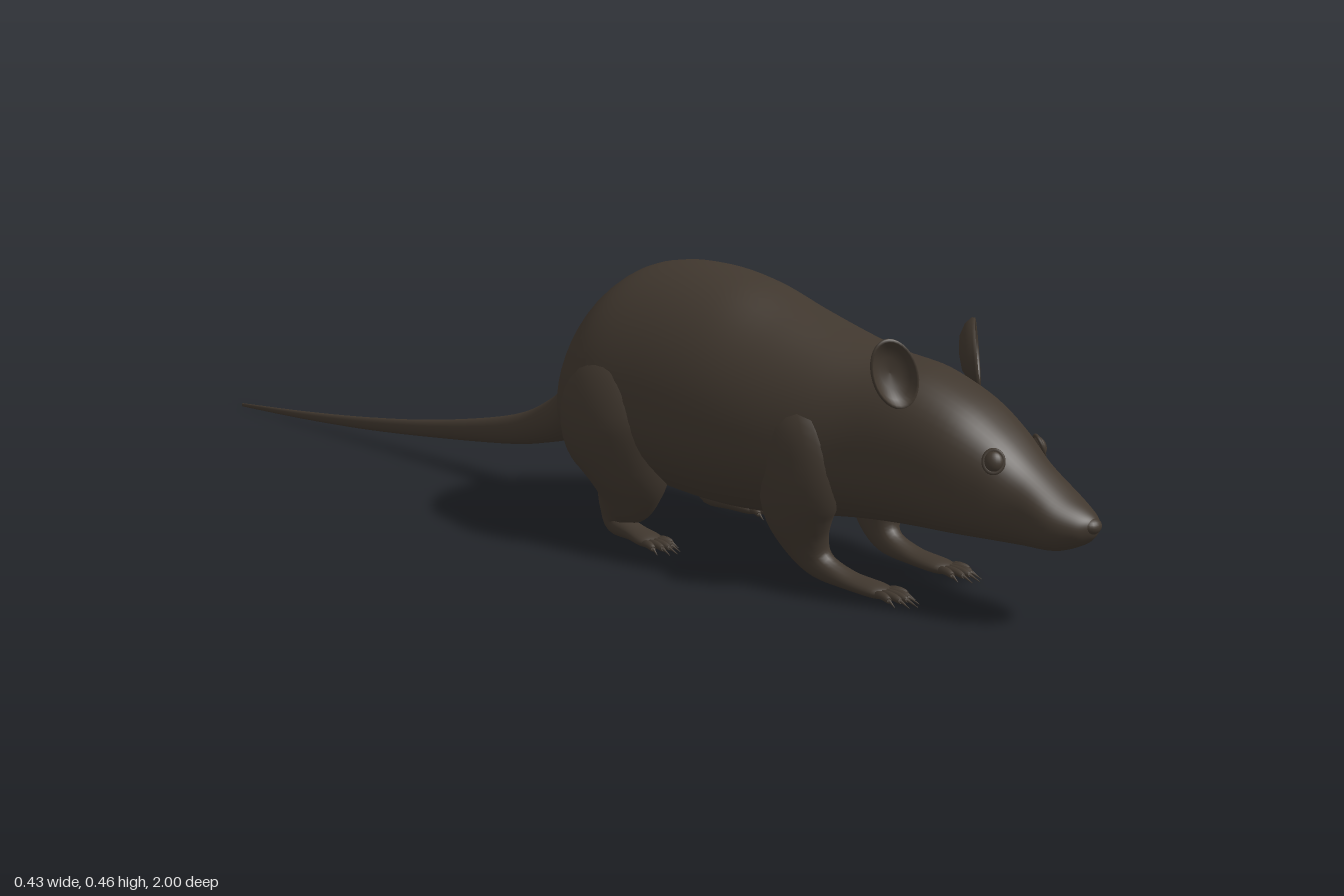
import * as THREE from 'three';

const fur = new THREE.MeshStandardMaterial({ color: 0x40372e });
fur.name = 'dark brown fur';

// Smoothly resample rows of numbers (Catmull-Rom on every column)
function smoothRows(rows, steps) {
  const out = [];
  const last = rows.length - 1;
  for (let i = 0; i < last; i++) {
    const a = rows[Math.max(i - 1, 0)], b = rows[i], c = rows[i + 1], d = rows[Math.min(i + 2, last)];
    for (let s = 0; s < steps; s++) {
      const t = s / steps;
      out.push(b.map((v, k) => 0.5 * (2 * v + (c[k] - a[k]) * t
        + (2 * a[k] - 5 * v + 4 * c[k] - d[k]) * t * t
        + (3 * v - a[k] - 3 * c[k] + d[k]) * t * t * t)));
    }
  }
  out.push(rows[last]);
  return out;
}

// Skin a list of closed rings, with a point cap at each end
function skin(rings) {
  const n = rings[0].length, pos = [], index = [];
  rings.forEach((ring) => ring.forEach((p) => pos.push(p.x, p.y, p.z)));
  for (let i = 0; i < rings.length - 1; i++) {
    for (let j = 0; j < n; j++) {
      const a = i * n + j, b = i * n + (j + 1) % n;
      index.push(a, b, a + n, b, b + n, a + n);
    }
  }
  [0, rings.length - 1].forEach((r, end) => {
    const c = rings[r].reduce((s, p) => s.add(p), new THREE.Vector3()).divideScalar(n);
    const k = pos.length / 3;
    pos.push(c.x, c.y, c.z);
    for (let j = 0; j < n; j++) {
      const a = r * n + j, b = r * n + (j + 1) % n;
      if (end) index.push(a, b, k); else index.push(b, a, k);
    }
  });
  const g = new THREE.BufferGeometry();
  g.setAttribute('position', new THREE.Float32BufferAttribute(pos, 3));
  g.setIndex(index);
  g.computeVertexNormals();
  return g;
}

// Tapered limb through rows of x, y, z, side radius, depth radius
function limb(rows, sides = 20, steps = 5) {
  const pts = smoothRows(rows, steps);
  const at = (i) => new THREE.Vector3(...pts[Math.min(Math.max(i, 0), pts.length - 1)].slice(0, 3));
  return skin(pts.map((p, i) => {
    const T = at(i + 1).sub(at(i - 1)).normalize();
    const N = new THREE.Vector3(1, 0, 0).addScaledVector(T, -T.x).normalize();
    const B = T.clone().cross(N);
    return Array.from({ length: sides }, (_, j) => {
      const a = j / sides * Math.PI * 2;
      return at(i).addScaledVector(N, Math.cos(a) * p[3]).addScaledVector(B, Math.sin(a) * p[4]);
    });
  }));
}

function add(parent, name, geometry) {
  const m = new THREE.Mesh(geometry, fur);
  m.name = name;
  parent.add(m);
  return m;
}

// Body rows from tail tip to nose: z, half width, top, widest height, bottom, squareness
const BODY = [
  [-1, 0.002, 0.011, 0.008, 0.004, 2],
  [-0.8, 0.006, 0.028, 0.02, 0.012, 2],
  [-0.6, 0.009, 0.05, 0.038, 0.025, 2],
  [-0.4, 0.013, 0.08, 0.063, 0.045, 2],
  [-0.2, 0.022, 0.125, 0.098, 0.07, 2],
  [-0.1, 0.036, 0.173, 0.13, 0.092, 2],
  [-0.05, 0.052, 0.217, 0.155, 0.106, 2],
  [0, 0.088, 0.285, 0.185, 0.117, 2],
  [0.05, 0.145, 0.365, 0.21, 0.122, 2],
  [0.1, 0.182, 0.418, 0.22, 0.115, 2],
  [0.16, 0.194, 0.449, 0.225, 0.1, 2],
  [0.25, 0.19, 0.459, 0.225, 0.082, 2],
  [0.35, 0.182, 0.447, 0.22, 0.073, 2],
  [0.45, 0.17, 0.414, 0.215, 0.078, 2],
  [0.54, 0.152, 0.386, 0.21, 0.093, 2.1],
  [0.62, 0.13, 0.367, 0.21, 0.104, 2.2],
  [0.7, 0.115, 0.355, 0.215, 0.11, 2.3],
  [0.78, 0.101, 0.323, 0.205, 0.113, 2.4],
  [0.84, 0.082, 0.284, 0.192, 0.115, 2.4],
  [0.89, 0.064, 0.242, 0.175, 0.116, 2.3],
  [0.94, 0.055, 0.206, 0.162, 0.118, 2.2],
  [0.975, 0.036, 0.186, 0.158, 0.132, 2],
  [0.99, 0.018, 0.175, 0.16, 0.145, 2],
  [0.995, 0.004, 0.165, 0.161, 0.157, 2],
];

function bodyGeometry() {
  const sides = 48;
  return skin(smoothRows(BODY, 5).map(([z, w, top, mid, low, e]) =>
    Array.from({ length: sides }, (_, j) => {
      const a = j / sides * Math.PI * 2, c = Math.cos(a), s = Math.sin(a);
      const x = Math.sign(c) * Math.abs(c) ** (2 / e) * w;
      const y = mid + Math.sign(s) * Math.abs(s) ** (2 / e) * (s > 0 ? top - mid : mid - low);
      return new THREE.Vector3(x, y, z);
    })));
}

const FRONT_LEG = [
  [0.095, 0.3, 0.5, 0.012, 0.02], [0.108, 0.25, 0.525, 0.044, 0.07],
  [0.113, 0.18, 0.54, 0.047, 0.076], [0.106, 0.115, 0.535, 0.041, 0.063],
  [0.095, 0.065, 0.545, 0.029, 0.041], [0.088, 0.033, 0.57, 0.022, 0.024],
  [0.085, 0.019, 0.62, 0.022, 0.014], [0.083, 0.014, 0.675, 0.024, 0.011],
  [0.083, 0.012, 0.695, 0.012, 0.006],
];
const HIND_LEG = [
  [0.1, 0.34, 0.17, 0.015, 0.025], [0.128, 0.28, 0.175, 0.062, 0.085],
  [0.139, 0.205, 0.18, 0.075, 0.105], [0.134, 0.135, 0.195, 0.062, 0.088],
  [0.125, 0.085, 0.188, 0.043, 0.065], [0.12, 0.048, 0.17, 0.028, 0.04],
  [0.12, 0.025, 0.17, 0.022, 0.022], [0.125, 0.018, 0.21, 0.021, 0.014],
  [0.132, 0.014, 0.25, 0.024, 0.011], [0.134, 0.012, 0.268, 0.012, 0.006],
];

// Five splayed toes, each ending in a pointed claw
function addToes(parent, s, x, z, reach) {
  for (let i = -2; i <= 2; i++) {
    const l = reach * (1 - 0.09 * i * i);
    const row = (t, y, r) => [s * x + i * (0.008 + 0.005 * t), y, z + l * t, r, r];
    add(parent, 'toe', limb([
      row(-0.15, 0.012, 0.004), row(0.2, 0.015, 0.0065), row(0.5, 0.014, 0.006),
      row(0.68, 0.011, 0.0045), row(0.72, 0.011, 0.0025), row(1, 0.004, 0.0004),
    ], 8, 3));
  }
}

// Cupped ear: closed lathe shell opening forward
function earGeometry() {
  const profile = [[0, -0.016], [0.5, -0.013], [0.85, -0.003], [1, 0.008], [0.98, 0.013],
    [0.9, 0.011], [0.75, 0], [0.45, -0.007], [0, -0.009]]
    .map(([r, y]) => new THREE.Vector2(r * 0.036, y));
  const g = new THREE.LatheGeometry(profile, 32);
  g.rotateX(Math.PI / 2);
  g.scale(1, 1.5, 1);
  return g;
}

export function createModel() {
  const model = new THREE.Group();
  model.name = 'rodent';
  add(model, 'bodyHeadAndTail', bodyGeometry());

  // Nose pad
  const nose = add(model, 'nose', new THREE.SphereGeometry(1, 20, 14));
  nose.scale.set(0.019, 0.013, 0.016);
  nose.position.set(0, 0.163, 0.984);

  for (const s of [1, -1]) {
    const side = new THREE.Group();
    side.name = s > 0 ? 'leftSide' : 'rightSide';
    model.add(side);
    const mirror = (rows) => rows.map(([x, ...rest]) => [s * x, ...rest]);
    add(side, 'frontLeg', limb(mirror(FRONT_LEG)));
    addToes(side, s, 0.083, 0.683, 0.065);
    add(side, 'hindLeg', limb(mirror(HIND_LEG), 28));
    addToes(side, s, 0.135, 0.255, 0.058);

    // Ear, turned outward and leaning away from the head
    const ear = add(side, 'ear', earGeometry());
    ear.position.set(s * 0.1, 0.36, 0.7);
    ear.rotation.set(-0.15, s * 0.55, -s * 0.22);

    // Eye with its lid rim
    const eye = new THREE.Group();
    eye.name = 'eye';
    eye.position.set(s * 0.061, 0.247, 0.856);
    eye.rotation.set(-0.35, s * 0.95, 0, 'YXZ');
    side.add(eye);
    add(eye, 'eyeball', new THREE.SphereGeometry(0.014, 20, 14)).scale.set(1, 1.1, 0.7);
    add(eye, 'eyelid', new THREE.TorusGeometry(0.0145, 0.003, 8, 28)).scale.set(1, 1.15, 1);
  }
  return model;
}
